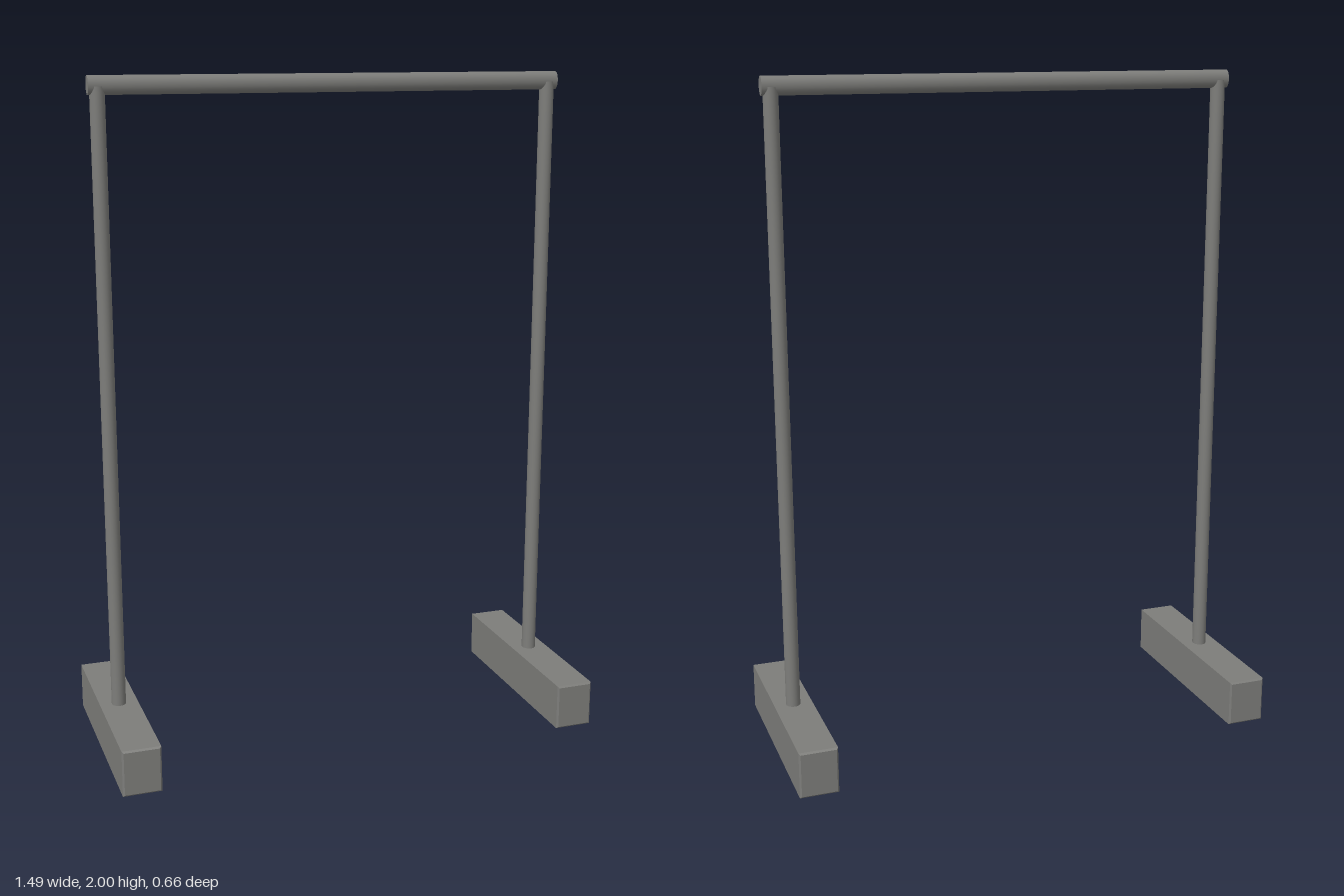
import * as THREE from 'three';

export function createModel() {
  const model = new THREE.Group();
  const grey = new THREE.MeshStandardMaterial({ color: 0x7d7d7a });
  grey.name = 'grey metal';

  const add = (name, geometry, x, y, z) => {
    const mesh = new THREE.Mesh(geometry, grey);
    mesh.name = name;
    mesh.position.set(x, y, z);
    model.add(mesh);
  };

  // Foot block: square section run along z, with slightly eased ends
  const w = 0.115, h = 0.14, halfLength = 0.33, ease = 0.005;
  const section = new THREE.Shape([
    new THREE.Vector2(-w / 2, 0), new THREE.Vector2(w / 2, 0),
    new THREE.Vector2(w / 2, h), new THREE.Vector2(-w / 2, h),
  ]);
  const footGeometry = new THREE.ExtrudeGeometry(section, {
    depth: 2 * (halfLength - ease), bevelThickness: ease,
    bevelSize: ease, bevelOffset: -ease, bevelSegments: 1,
  });
  footGeometry.translate(0, 0, -(halfLength - ease));

  // Upright post, standing in the foot and ending inside the crossbar
  const postBottom = 0.1, postTop = 1.97;
  const postGeometry = new THREE.CylinderGeometry(0.0215, 0.0215, postTop - postBottom, 24);
  postGeometry.scale(1, 1, 1.06);

  for (const [side, s] of [['left', 1], ['right', -1]]) {
    add(side + 'Foot', footGeometry, s * 0.685, 0, 0);
    add(side + 'Post', postGeometry, s * 0.685, (postBottom + postTop) / 2, 0);
  }

  // Crossbar: oval tube, taller than it is deep
  const barGeometry = new THREE.CylinderGeometry(0.02, 0.02, 1.425, 24);
  barGeometry.rotateZ(Math.PI / 2);
  barGeometry.scale(1, 1.35, 1);
  add('crossbar', barGeometry, 0, 1.973, 0);

  return model;
}
